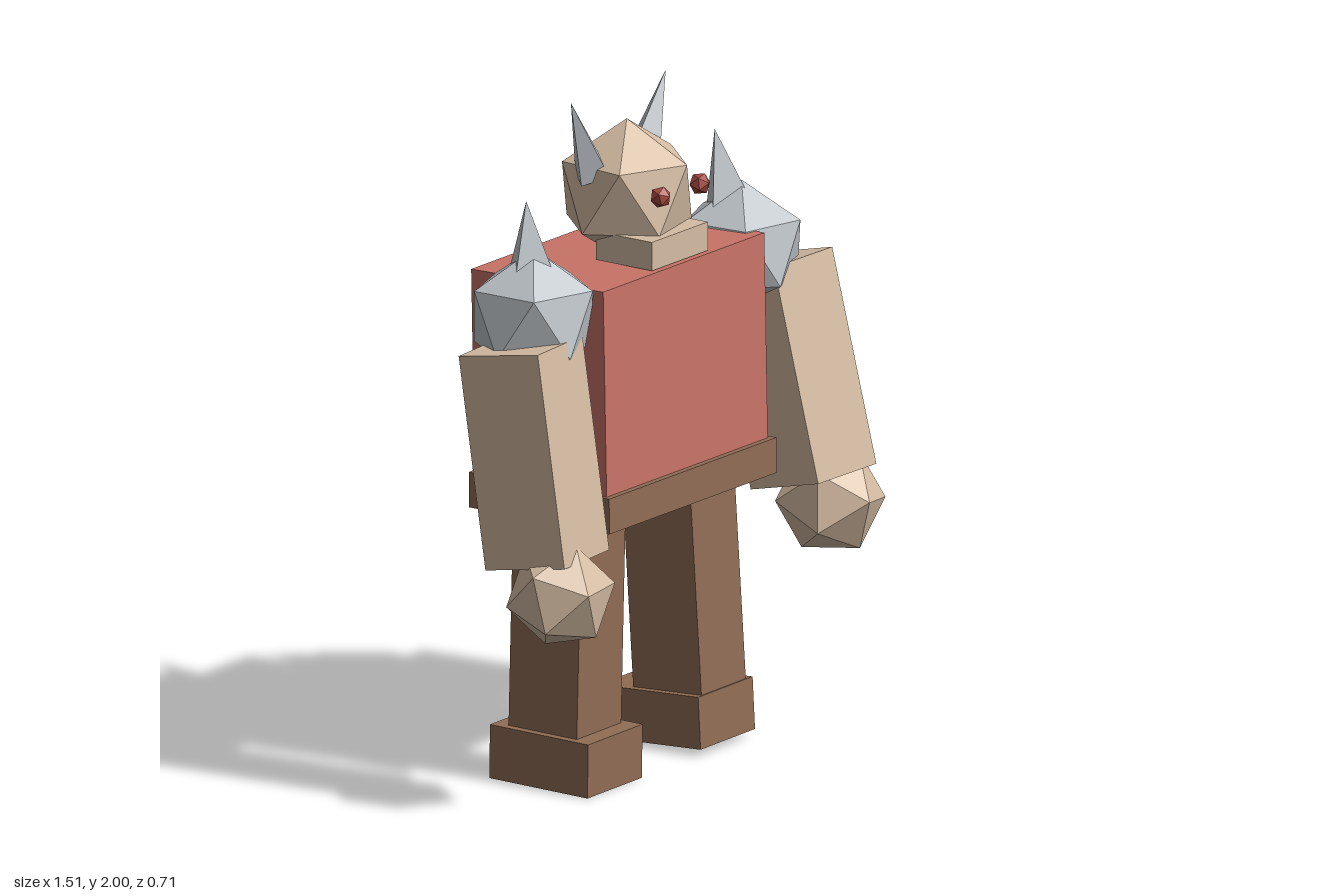
import * as THREE from 'three';

export function createModel() {
  const model = new THREE.Group();
  model.name = 'hornedBrute';

  const mat = (name, color) => {
    const m = new THREE.MeshStandardMaterial({ color, flatShading: true });
    m.name = name;
    return m;
  };
  const skin = mat('skin', 0xd6bda4);
  const red = mat('redTunic', 0xca7468);
  const brown = mat('brownLeather', 0x916d55);
  const steel = mat('paleSteel', 0xbfc5ca);
  const eyeRed = mat('eyeRed', 0xa5483f);

  const add = (name, geometry, material, pos, rot = [0, 0, 0]) => {
    const mesh = new THREE.Mesh(geometry, material);
    mesh.name = name;
    mesh.position.set(...pos);
    mesh.rotation.set(...rot);
    model.add(mesh);
    return mesh;
  };
  const box = (name, material, size, pos, rot) =>
    add(name, new THREE.BoxGeometry(...size), material, pos, rot);

  // Icosahedron with one corner pointing along dir, spun about that axis
  const gem = (name, material, r, pos, dir, spin) => {
    const g = new THREE.IcosahedronGeometry(r, 0);
    g.rotateX(Math.atan(2 / (1 + Math.sqrt(5)))).rotateZ(spin);
    const mesh = add(name, g, material, pos);
    mesh.quaternion.setFromUnitVectors(
      new THREE.Vector3(0, 0, 1), new THREE.Vector3(...dir).normalize());
  };

  // Four-sided spike running from base to tip
  const spike = (name, r, base, tip) => {
    const a = new THREE.Vector3(...base);
    const axis = new THREE.Vector3(...tip).sub(a);
    const h = axis.length();
    const g = new THREE.ConeGeometry(r, h, 4).translate(0, h / 2, 0);
    const mesh = add(name, g, steel, base);
    mesh.quaternion.setFromUnitVectors(new THREE.Vector3(0, 1, 0), axis.normalize());
  };

  // Torso and belt
  box('torso', red, [0.78, 0.61, 0.47], [0, 1.205, -0.115], [-0.02, -0.018, 0]);
  box('belt', brown, [0.81, 0.105, 0.5], [0.002, 0.852, -0.105], [-0.005, -0.018, 0]);

  // Legs and feet
  box('leftLeg', brown, [0.22, 0.63, 0.24], [0.27, 0.475, -0.08], [-0.065, 0, 0]);
  box('rightLeg', brown, [0.22, 0.63, 0.24], [-0.27, 0.475, -0.108], [0.025, 0, 0]);
  box('leftFoot', brown, [0.27, 0.155, 0.35], [0.272, 0.091, -0.106], [-0.055, 0, 0]);
  box('rightFoot', brown, [0.27, 0.16, 0.345], [-0.27, 0.083, -0.112], [0.015, 0, 0]);

  // Arms, swung slightly forward, and fists
  box('leftArm', skin, [0.255, 0.64, 0.265], [0.578, 1.06, 0.08], [-0.245, -0.1, 0]);
  box('rightArm', skin, [0.255, 0.63, 0.265], [-0.58, 1.06, -0.005], [-0.15, 0.09, 0]);
  gem('leftFist', skin, 0.165, [0.615, 0.68, 0.19], [-0.19, 0.13, 0.97], 0.19);
  gem('rightFist', skin, 0.16, [-0.617, 0.665, 0.115], [-0.4, 0.2, 0.9], 0.4);

  // Shoulder guards with spikes
  gem('leftShoulder', steel, 0.195, [0.485, 1.43, -0.03], [0, 1, 0], 0.37);
  gem('rightShoulder', steel, 0.2, [-0.47, 1.43, -0.085], [0, 1, 0], 0.31);
  spike('leftShoulderSpike', 0.09, [0.475, 1.53, -0.06], [0.465, 1.768, -0.11]);
  spike('rightShoulderSpike', 0.09, [-0.468, 1.53, -0.09], [-0.47, 1.768, -0.11]);

  // Head, jaw, eyes and horns
  gem('head', skin, 0.212, [0.008, 1.695, -0.095], [0, 1, 0], 0.19);
  box('jaw', skin, [0.27, 0.085, 0.2], [-0.002, 1.56, 0], [0, -0.02, 0]);
  gem('leftEye', eyeRed, 0.033, [0.085, 1.728, 0.107], [0, 0.2, 1], 0.2);
  gem('rightEye', eyeRed, 0.033, [-0.097, 1.728, 0.098], [0, 0.2, 1], 0.5);
  spike('leftHorn', 0.06, [0.125, 1.765, -0.122], [0.225, 2, -0.112]);
  spike('rightHorn', 0.06, [-0.12, 1.765, -0.125], [-0.22, 2, -0.13]);

  return model;
}
